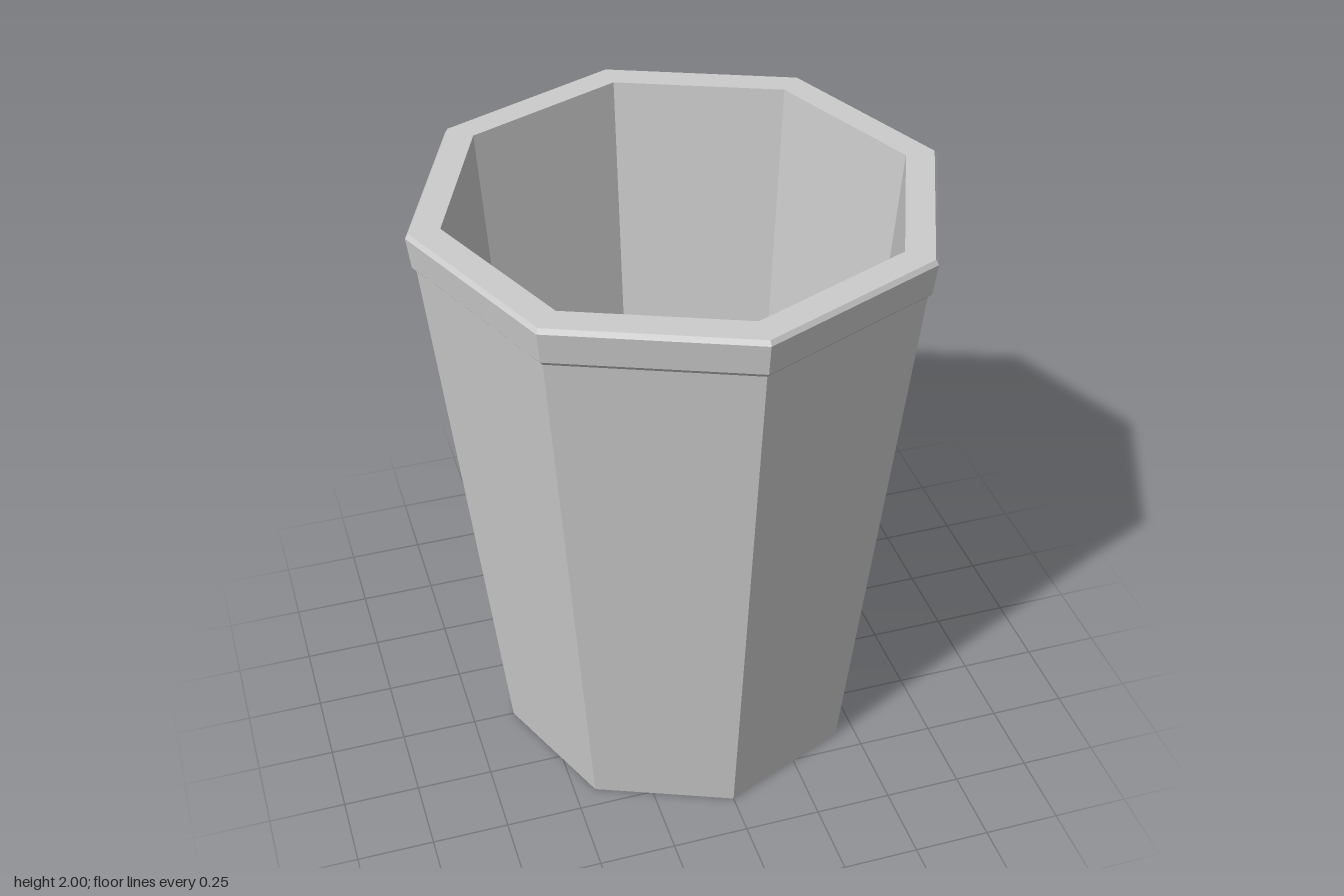
import * as THREE from 'three';

const SIDES = 8;

export function createModel() {
  const group = new THREE.Group();
  group.name = 'octagonalCup';
  const material = new THREE.MeshStandardMaterial({ color: 0xcccccc, flatShading: true });

  // Revolves [radius, height] points into an eight-sided shell
  const addShell = (name, profile) => {
    const points = profile.map(([r, y]) => new THREE.Vector2(r, y));
    const mesh = new THREE.Mesh(new THREE.LatheGeometry(points, SIDES), material);
    mesh.name = name;
    group.add(mesh);
  };

  // Recessed underside with its foot ring
  addShell('base', [[0, 0.03], [0.54, 0.03], [0.54, 0], [0.61, 0]]);
  // Tapered outer wall
  addShell('outerWall', [[0.61, 0], [0.805, 1.87]]);
  // Protruding lip with a small bevel below and above
  addShell('rim', [[0.805, 1.87], [0.818, 1.885], [0.83, 1.985], [0.82, 2], [0.725, 2]]);
  // Inner wall and floor
  addShell('interior', [[0.725, 2], [0.58, 0.1], [0, 0.1]]);

  return group;
}
